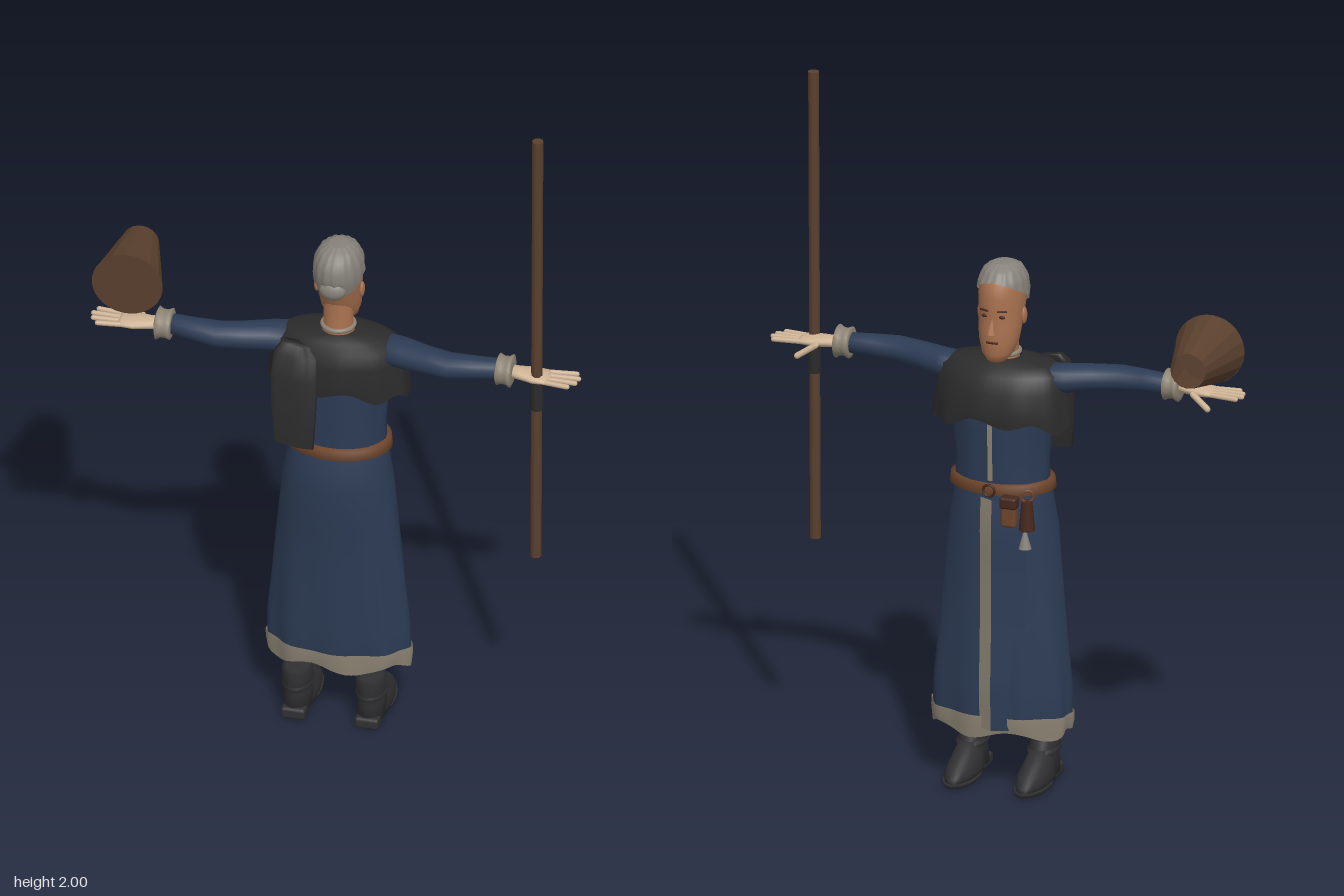
import * as THREE from 'three';
import { RoundedBoxGeometry } from 'three/addons/geometries/RoundedBoxGeometry.js';

const colours = {
  robeNavy: 0x2c3b54, capeBlack: 0x2b2b2c, trimBeige: 0x8d8474, beltBrown: 0x6e452b, wood: 0x5a402e,
  faceSkin: 0xa8714f, handSkin: 0xcdb294, coifGrey: 0x86827a, bootBlack: 0x303032, featureDark: 0x45281d,
};
const M = {};

function add(parent, name, geo, mat, pos = [0, 0, 0], rot = [0, 0, 0], scale = [1, 1, 1]) {
  const m = new THREE.Mesh(geo, mat);
  m.name = name;
  m.position.set(...pos);
  m.rotation.set(...rot);
  m.scale.set(...scale);
  parent.add(m);
  return m;
}

// Skin a list of closed rings of [x, y, z] points
function loft(rings, capStart = false, capEnd = false) {
  const n = rings[0].length, p = rings.flat(2), idx = [];
  for (let j = 0; j < rings.length - 1; j++) for (let i = 0; i < n; i++) {
    const k = (i + 1) % n, a = j * n + i, b = j * n + k;
    idx.push(a, b, b + n, a, b + n, a + n);
  }
  const cap = (r, start) => {
    const c = p.length / 3, o = r * n;
    for (let d = 0; d < 3; d++) p.push(rings[r].reduce((s, v) => s + v[d], 0) / n);
    for (let i = 0; i < n; i++) {
      const k = (i + 1) % n;
      if (start) idx.push(c, o + k, o + i); else idx.push(c, o + i, o + k);
    }
  };
  if (capStart) cap(0, true);
  if (capEnd) cap(rings.length - 1, false);
  const g = new THREE.BufferGeometry();
  g.setAttribute('position', new THREE.Float32BufferAttribute(p, 3));
  g.setIndex(idx);
  g.computeVertexNormals();
  return g;
}

// Horizontal ring from a row [y, halfWidth, zBack, zFront, centreX]
function ring([y, rx, zb, zf, cx = 0], n = 32, tweak = () => ({})) {
  return Array.from({ length: n }, (_, i) => {
    const t = i / n * Math.PI * 2, { k = 1, dy = 0 } = tweak(t, y);
    return [cx + rx * k * Math.sin(t), y + dy, (zb + zf) / 2 + (zb - zf) / 2 * k * Math.cos(t)];
  });
}
const stack = (rows, n, tweak, a, b) => loft(rows.map(r => ring(r, n, tweak)), a, b);

// Interpolate rows by height
function at(rows, y) {
  let i = 0;
  while (i < rows.length - 2 && rows[i + 1][0] < y) i++;
  const f = THREE.MathUtils.clamp((y - rows[i][0]) / (rows[i + 1][0] - rows[i][0]), 0, 1);
  return rows[i].map((v, k) => k ? v + (rows[i + 1][k] - v) * f : y);
}

// Vertical strip between two edge curves
function ribbon(y0, y1, steps, edges) {
  const p = [], idx = [];
  for (let j = 0; j <= steps; j++) {
    p.push(...edges(y0 + (y1 - y0) * j / steps).flat());
    if (j) { const a = j * 2 - 2; idx.push(a, a + 2, a + 1, a + 1, a + 2, a + 3); }
  }
  const g = new THREE.BufferGeometry();
  g.setAttribute('position', new THREE.Float32BufferAttribute(p, 3));
  g.setIndex(idx);
  g.computeVertexNormals();
  return g;
}

const skirtRows = [[0.21, 0.2, 0.092, -0.115], [0.3, 0.2, 0.1, -0.12], [0.5, 0.182, 0.1, -0.112], [0.65, 0.168, 0.112, -0.11],
  [0.77, 0.157, 0.122, -0.113], [0.84, 0.145, 0.112, -0.11], [0.9, 0.138, 0.096, -0.102]];
const torsoRows = [[0.89, 0.137, 0.096, -0.102], [0.96, 0.134, 0.096, -0.104], [1.06, 0.143, 0.1, -0.108],
  [1.16, 0.158, 0.1, -0.11], [1.22, 0.16, 0.09, -0.09], [1.245, 0.09, 0.05, -0.05]];
const headRows = [[1.262, 0.026, -0.03, -0.08], [1.285, 0.045, 0.005, -0.09], [1.32, 0.056, 0.03, -0.092], [1.36, 0.061, 0.045, -0.091],
  [1.4, 0.063, 0.065, -0.087], [1.45, 0.066, 0.084, -0.091], [1.49, 0.06, 0.078, -0.08], [1.517, 0.045, 0.055, -0.057], [1.529, 0.02, 0.022, -0.025]];

function buildRobe(g) {
  const fold = (t, y) => ({ k: 1 + 0.03 * Math.sin(9 * t + y * 4) * Math.max(0, (0.8 - y) / 0.6) });
  add(g, 'skirt', stack(skirtRows, 64, fold), M.robeNavy);
  add(g, 'torso', stack(torsoRows, 40, t => ({ k: 1 + 0.015 * Math.sin(10 * t) })), M.robeNavy);
  const hem = [[0.18, 0.2, 0.092, -0.115], [0.2, 0.205, 0.097, -0.12], [0.225, 0.205, 0.098, -0.121]];
  add(g, 'hemTrim', stack(hem, 64, (t, y) => ({ k: fold(t, y).k, dy: y < 0.19 ? -0.012 * (1 + Math.sin(5 * t)) : 0 })), M.trimBeige);
  // Overlapping front opening with its pale lining
  const f = y => at(skirtRows, y)[3];
  add(g, 'openingLining', ribbon(0.19, 0.87, 14, y => [[0.028, y, f(y) - 0.001], [-0.012, y, f(y) - 0.02]]), M.trimBeige);
  add(g, 'openingFlap', ribbon(0.19, 0.87, 14, y => [[-0.012, y, f(y) - 0.02], [-0.1, y, f(y) * 0.83]]), M.robeNavy);
  add(g, 'chestTrim', ribbon(0.92, 1.12, 5, y => [[0.007, y, at(torsoRows, y)[3] - 0.004], [-0.007, y, at(torsoRows, y)[3] - 0.004]]), M.trimBeige);
}

function buildCape(g) {
  const rows = [[1.08, 0.2, 0.115, -0.128], [1.12, 0.196, 0.118, -0.13], [1.18, 0.187, 0.114, -0.122], [1.225, 0.178, 0.104, -0.1],
    [1.248, 0.145, 0.08, -0.072], [1.26, 0.05, 0.052, -0.045]];
  add(g, 'cape', stack(rows, 56, (t, y) => ({
    k: 1 + 0.02 * Math.sin(11 * t) * (y < 1.15 ? 1 : 0.3),
    dy: y < 1.1 ? 0.012 * Math.sin(7 * t) - 0.03 * Math.sin(t) ** 2 + 0.015 : 0,
  })), M.capeBlack);
  const tail = [[0.945, 0.056, 0.162, 0.142, -0.095], [1.05, 0.062, 0.156, 0.132, -0.097],
    [1.15, 0.066, 0.146, 0.11, -0.1], [1.215, 0.06, 0.13, 0.08, -0.1], [1.24, 0.04, 0.105, 0.07, -0.1]];
  add(g, 'hoodTail', stack(tail, 24, t => ({ k: 1 + 0.08 * Math.sin(5 * t), dy: -0.008 * Math.sin(t) }), true, true), M.capeBlack);
}

function buildBelt(g) {
  add(g, 'belt', stack([[0.877, 0.14, 0.1, -0.105], [0.88, 0.152, 0.112, -0.114], [0.908, 0.149, 0.11, -0.114], [0.912, 0.136, 0.097, -0.103]], 40), M.beltBrown);
  add(g, 'buckle', new THREE.TorusGeometry(0.017, 0.004, 6, 12), M.featureDark, [0, 0.895, -0.117]);
  add(g, 'pouch', new RoundedBoxGeometry(0.045, 0.085, 0.03, 3, 0.01), M.beltBrown, [-0.062, 0.84, -0.122]);
  add(g, 'pouchFlap', new RoundedBoxGeometry(0.05, 0.035, 0.036, 2, 0.008), M.featureDark, [-0.062, 0.87, -0.122]);
  add(g, 'flask', new THREE.CylinderGeometry(0.015, 0.023, 0.085, 10), M.featureDark, [-0.112, 0.835, -0.115]);
  add(g, 'flaskStrap', new THREE.TorusGeometry(0.017, 0.004, 6, 12), M.beltBrown, [-0.112, 0.89, -0.112], [0, 0.4, 0]);
  add(g, 'bell', new THREE.CylinderGeometry(0.006, 0.018, 0.045, 10), M.coifGrey, [-0.11, 0.763, -0.125]);
}

function buildHead(g) {
  add(g, 'neck', stack([[1.22, 0.05, 0.052, -0.045], [1.27, 0.042, 0.044, -0.035], [1.37, 0.043, 0.042, -0.04]], 20), M.faceSkin);
  add(g, 'collar', new THREE.TorusGeometry(0.044, 0.007, 8, 24), M.trimBeige, [0, 1.27, 0.004], [Math.PI / 2, 0, 0]);
  add(g, 'head', stack(headRows, 32, undefined, true, true), M.faceSkin);
  // Ribbed coif, low at the nape and high on the brow
  const rings = [];
  for (let j = 0; j <= 10; j++) {
    rings.push(Array.from({ length: 64 }, (_, i) => {
      const t = i / 64 * Math.PI * 2, low = 1.445 - 0.05 * Math.cos(t);
      const y = low + (1.529 - low) * Math.sin(j / 10 * Math.PI / 2);
      const [, rx, zb, zf] = at(headRows, y), r = 0.006 + 0.0018 * Math.sin(16 * t);
      return [(rx + r) * Math.sin(t), y + 0.006 * j / 10, (zb + zf) / 2 + ((zb - zf) / 2 + r) * Math.cos(t)];
    }));
  }
  add(g, 'coif', loft(rings, false, true), M.coifGrey);
  add(g, 'coifKnot', new THREE.SphereGeometry(0.03, 12, 8), M.coifGrey, [0, 1.42, 0.07], [0, 0, 0], [1.3, 1, 0.8]);
  add(g, 'nose', new THREE.ConeGeometry(0.014, 0.05, 8), M.faceSkin, [0, 1.373, -0.093], [0.25, 0, 0]);
  add(g, 'mouth', new RoundedBoxGeometry(0.034, 0.006, 0.008, 1, 0.002), M.featureDark, [0, 1.323, -0.091]);
  for (const s of [1, -1]) {
    add(g, 'ear', new THREE.SphereGeometry(0.02, 10, 8), M.faceSkin, [s * 0.064, 1.385, -0.008], [0, 0, 0], [0.4, 1.25, 0.8]);
    add(g, 'eye', new THREE.SphereGeometry(0.008, 8, 6), M.featureDark, [s * 0.025, 1.398, -0.081], [0, 0, 0], [1.3, 0.6, 0.6]);
    add(g, 'brow', new RoundedBoxGeometry(0.028, 0.005, 0.007, 1, 0.002), M.featureDark, [s * 0.026, 1.415, -0.083], [0, s * -0.35, 0]);
  }
}

// Sleeve, cuff and hand along the x axis; rows are [x, y, z, ry, rz]
function buildArm(g, s) {
  const tube = rows => loft(rows.map(([x, y, z, ry, rz]) => Array.from({ length: 20 }, (_, i) => {
    const t = s * i / 20 * Math.PI * 2;
    return [s * x, y + ry * Math.cos(t), z + rz * Math.sin(t)];
  })), true, true);
  add(g, 'sleeve', tube([[0.12, 1.205, 0, 0.042, 0.055], [0.19, 1.207, 0.015, 0.041, 0.052], [0.26, 1.21, 0.038, 0.038, 0.046],
    [0.33, 1.212, 0.055, 0.036, 0.043], [0.4, 1.215, 0.05, 0.032, 0.036], [0.48, 1.217, 0.04, 0.028, 0.03]]), M.robeNavy);
  add(g, 'cuff', tube([[0.463, 1.216, 0.043, 0.035, 0.038], [0.467, 1.216, 0.043, 0.045, 0.047], [0.48, 1.216, 0.044, 0.039, 0.042],
    [0.494, 1.216, 0.045, 0.04, 0.043], [0.505, 1.216, 0.045, 0.047, 0.05], [0.51, 1.216, 0.045, 0.034, 0.036]]), M.trimBeige);
  add(g, 'palm', tube([[0.5, 1.215, 0.043, 0.017, 0.022], [0.53, 1.213, 0.043, 0.016, 0.027], [0.57, 1.211, 0.043, 0.016, 0.037],
    [0.605, 1.21, 0.043, 0.012, 0.036], [0.615, 1.21, 0.043, 0.006, 0.03]]), M.handSkin);
  [0.09, 0.1, 0.095, 0.078].forEach((len, i) => {
    const a = (i - 1.5) * 0.07;
    add(g, 'finger', new THREE.CapsuleGeometry(0.0075, len - 0.015, 3, 8), M.handSkin,
      [s * (0.6 + len / 2), 1.21, 0.016 + i * 0.018 + a * 0.04], [0, -s * a, s * Math.PI / 2]);
  });
  add(g, 'thumb', new THREE.CapsuleGeometry(0.009, 0.06, 3, 8), M.handSkin, [s * 0.582, 1.193, -0.002], [-0.25, s * 0.45, s * (Math.PI / 2 - 0.45)]);
}

function buildBoot(g, s) {
  const cx = s * 0.105;
  add(g, 'bootShaft', stack([[0.02, 0.04, 0.108, 0.0, cx], [0.07, 0.039, 0.102, -0.03, cx], [0.1, 0.04, 0.106, -0.012, cx],
    [0.148, 0.043, 0.113, 0.0, cx], [0.151, 0.03, 0.1, 0.01, cx]], 20, undefined, true, true), M.bootBlack);
  add(g, 'bootFoot', stack([[0.008, 0.043, 0.085, -0.136, cx], [0.03, 0.045, 0.08, -0.136, cx], [0.05, 0.042, 0.08, -0.115, cx],
    [0.075, 0.036, 0.08, -0.065, cx], [0.1, 0.026, 0.07, -0.03, cx]], 24, undefined, true, true), M.bootBlack);
  add(g, 'bootSole', stack([[0.004, 0.045, 0.05, -0.138, cx], [0.016, 0.047, 0.06, -0.139, cx]], 24, undefined, true, true), M.bootBlack);
  add(g, 'bootHeel', new RoundedBoxGeometry(0.07, 0.035, 0.07, 2, 0.01), M.bootBlack, [cx, 0.0175, 0.078]);
  add(g, 'bootStrap', stack([[0.085, 0.041, 0.105, -0.026, cx], [0.093, 0.045, 0.109, -0.026, cx], [0.1, 0.041, 0.106, -0.016, cx]], 20), M.bootBlack);
}

function buildProps(g) {
  add(g, 'staff', new THREE.CylinderGeometry(0.016, 0.016, 1.38, 8), M.wood, [0.579, 1.31, 0.055], [0, 0, -0.004]);
  add(g, 'staffGrip', new THREE.CylinderGeometry(0.019, 0.019, 0.1, 8), M.capeBlack, [0.579, 1.16, 0.055]);
  // Tapered bucket lying on its side, open at the narrow end
  const a = new THREE.Vector3(-0.592, 1.333, 0.05), b = new THREE.Vector3(-0.604, 1.342, -0.159);
  const bucket = new THREE.Group();
  bucket.name = 'bucket';
  const len = a.distanceTo(b);
  const flat = geo => { const f = geo.toNonIndexed(); f.computeVertexNormals(); return f; };
  add(bucket, 'bucketWall', flat(new THREE.CylinderGeometry(0.051, 0.1, len, 16, 1, true)), M.wood);
  add(bucket, 'bucketBase', new THREE.CircleGeometry(0.1, 32), M.wood, [0, -len / 2, 0], [Math.PI / 2, 0, 0]);
  bucket.position.copy(a).add(b).multiplyScalar(0.5);
  bucket.quaternion.setFromUnitVectors(new THREE.Vector3(0, 1, 0), b.clone().sub(a).normalize());
  g.add(bucket);
}

export function createModel() {
  for (const [name, color] of Object.entries(colours)) {
    M[name] = new THREE.MeshStandardMaterial({ color, side: THREE.DoubleSide });
    M[name].name = name;
  }
  const model = new THREE.Group();
  model.name = 'robedFigure';
  const part = (name, build, ...args) => {
    const g = new THREE.Group();
    g.name = name;
    build(g, ...args);
    model.add(g);
  };
  part('robe', buildRobe);
  part('shoulderCape', buildCape);
  part('beltAndPouches', buildBelt);
  part('headAndNeck', buildHead);
  part('leftArm', buildArm, 1);
  part('rightArm', buildArm, -1);
  part('leftBoot', buildBoot, 1);
  part('rightBoot', buildBoot, -1);
  part('heldObjects', buildProps);
  return model;
}
